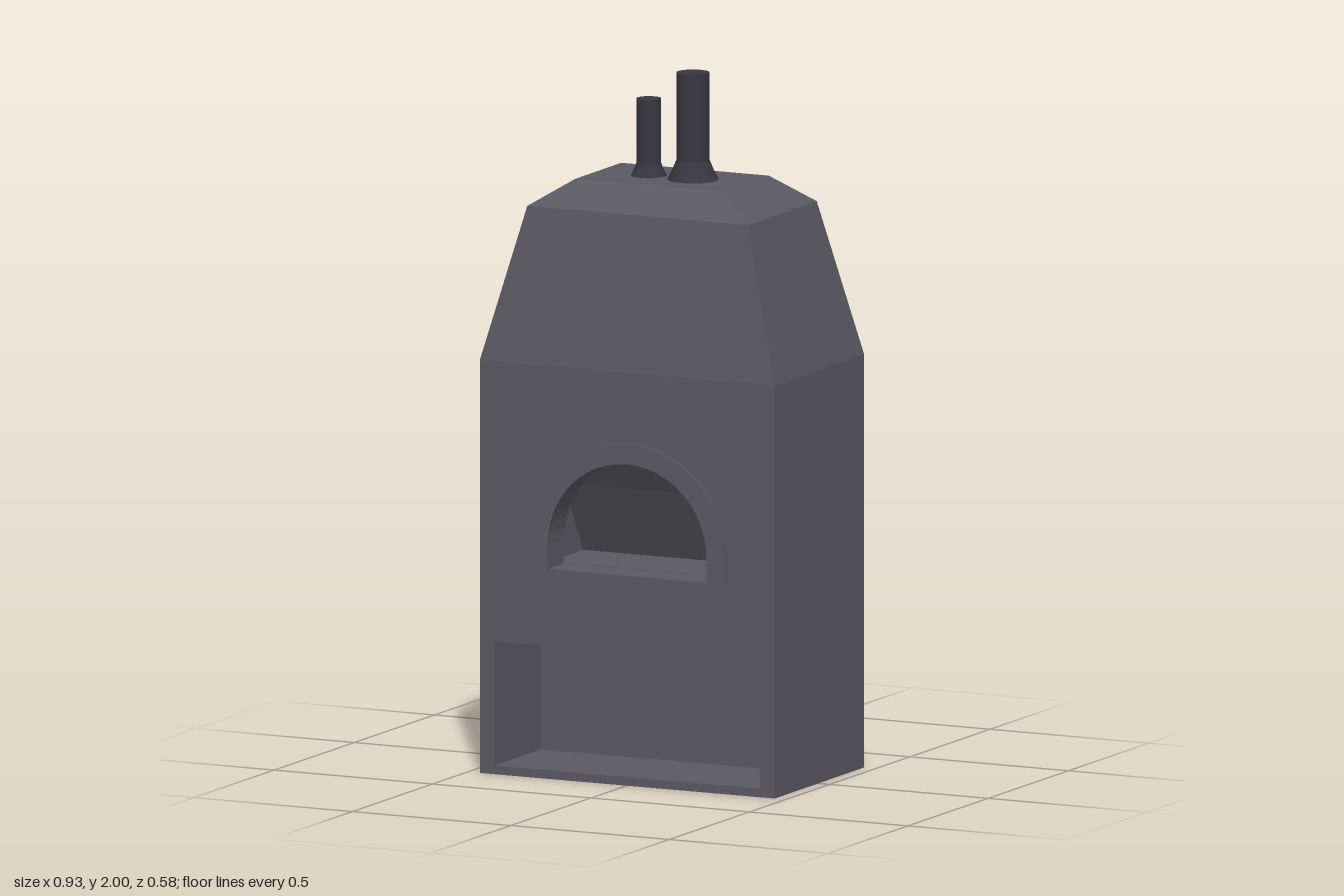
import * as THREE from 'three';

const bodyMat = new THREE.MeshStandardMaterial({ color: 0x5a5862, flatShading: true });
const cavityMat = new THREE.MeshStandardMaterial({ color: 0x5a5862, flatShading: true, side: THREE.DoubleSide });
const pipeMat = new THREE.MeshStandardMaterial({ color: 0x383640 });

// Flat-sided skin through a list of rings (each a list of [x, y, z])
function loft(rings, { closed = true, capStart = false, capEnd = false } = {}) {
  const pos = [];
  const tri = (a, b, c) => pos.push(...a, ...b, ...c);
  const n = rings[0].length;
  for (let r = 0; r + 1 < rings.length; r++) {
    const a = rings[r], b = rings[r + 1];
    for (let i = 0; i < (closed ? n : n - 1); i++) {
      const j = (i + 1) % n;
      tri(a[i], a[j], b[j]);
      tri(a[i], b[j], b[i]);
    }
  }
  const last = rings[rings.length - 1];
  for (let i = 1; i + 1 < n; i++) {
    if (capStart) tri(rings[0][0], rings[0][i + 1], rings[0][i]);
    if (capEnd) tri(last[0], last[i], last[i + 1]);
  }
  const g = new THREE.BufferGeometry();
  g.setAttribute('position', new THREE.Float32BufferAttribute(pos, 3));
  g.computeVertexNormals();
  return g;
}

const rectRing = (hx, hz, y) => [[hx, y, hz], [hx, y, -hz], [-hx, y, -hz], [-hx, y, hz]];

// Arch outline: straight legs under a half circle, right foot to left foot
const SPRING = 0.67;
function archPoints(radius, foot) {
  const pts = [new THREE.Vector2(radius, foot)];
  for (let i = 0; i <= 24; i++) {
    const a = (i / 24) * Math.PI;
    pts.push(new THREE.Vector2(radius * Math.cos(a), SPRING + radius * Math.sin(a)));
  }
  pts.push(new THREE.Vector2(-radius, foot));
  return pts;
}

const rect = (x0, y0, x1, y1) =>
  [[x0, y0], [x1, y0], [x1, y1], [x0, y1]].map(([x, y]) => new THREE.Vector2(x, y));

function wallWithHoles(outline, holes) {
  const s = new THREE.Shape(outline);
  for (const h of holes) s.holes.push(new THREE.Path(h));
  return new THREE.ShapeGeometry(s);
}

export function createModel() {
  const model = new THREE.Group();
  model.name = 'brickOven';
  const oven = new THREE.Group();
  oven.name = 'oven';
  oven.position.z = -0.005;
  oven.rotation.y = 0.0055;
  model.add(oven);

  const add = (name, geometry, material, x = 0, y = 0, z = 0, parent = oven) => {
    const m = new THREE.Mesh(geometry, material);
    m.name = name;
    m.position.set(x, y, z);
    parent.add(m);
    return m;
  };

  const HX = 0.464, HZ = 0.282, SHOULDER = 1.18, FLOOR = 0.6;

  // Side and back walls with the base, then the tapering hood
  add('walls', loft([rectRing(HX, HZ, 0), rectRing(HX, HZ, SHOULDER)], { closed: false, capStart: true }), bodyMat);
  add('hood', loft([
    rectRing(HX, HZ, SHOULDER), rectRing(0.347, 0.217, 1.62), rectRing(0.232, 0.145, 1.695),
  ], { capEnd: true }), bodyMat);

  // Front wall pierced by the oven mouth and the wood store
  const mouth = archPoints(0.25, FLOOR);
  const store = rect(-0.418, 0.025, 0.418, 0.38);
  add('frontWall', wallWithHoles(rect(-HX, 0, HX, SHOULDER), [mouth, store]), bodyMat, 0, 0, HZ);

  // Wood store recess
  const at = (pts, z) => pts.map((p) => [p.x, p.y, z]);
  add('woodStore', loft([at(store, HZ), at(store, HZ - 0.29)], { capEnd: true }), cavityMat);

  // Short arched throat opening into the wider baking chamber
  const THROAT = 0.18;
  add('mouthThroat', loft([at(mouth, HZ), at(mouth, THROAT)]), cavityMat);
  const profile = [[THROAT, FLOOR], [-0.04, FLOOR], [0.08, 0.81], [THROAT, 0.96]];
  const side = (x) => profile.map(([z, y]) => [x, y, z]);
  add('bakingChamber', loft([side(-0.3), side(0.3)], { closed: false, capStart: true, capEnd: true }), cavityMat);
  add('chamberFront', wallWithHoles(rect(-0.3, FLOOR, 0.3, 0.96), [archPoints(0.25, FLOOR + 0.001)]),
    cavityMat, 0, 0, THROAT);

  // Raised arch trim around the mouth
  const trim = new THREE.Shape([...archPoints(0.31, 0.595), ...archPoints(0.25, 0.595).reverse()]);
  add('archTrim', new THREE.ExtrudeGeometry(trim, { depth: 0.02, bevelEnabled: false }),
    bodyMat, 0.003, 0, HZ - 0.012);

  // Two chimney pipes with flared collars
  const chimney = (name, x, radius, flare, collarTop, top) => {
    const g = new THREE.Group();
    g.name = name;
    g.position.set(x, 0, 0);
    oven.add(g);
    const base = 1.692;
    add('pipe', new THREE.CylinderGeometry(radius, radius, top - base, 32), pipeMat, 0, (top + base) / 2, 0, g);
    const collar = [[flare, base], [flare * 0.45 + radius * 0.55, (base + collarTop) / 2], [radius, collarTop]];
    add('collar', new THREE.LatheGeometry(collar.map(([r, y]) => new THREE.Vector2(r, y)), 32), pipeMat, 0, 0, 0, g);
  };
  chimney('largeChimney', 0.066, 0.047, 0.074, 1.75, 2.0);
  chimney('smallChimney', -0.073, 0.035, 0.052, 1.73, 1.915);

  return model;
}
